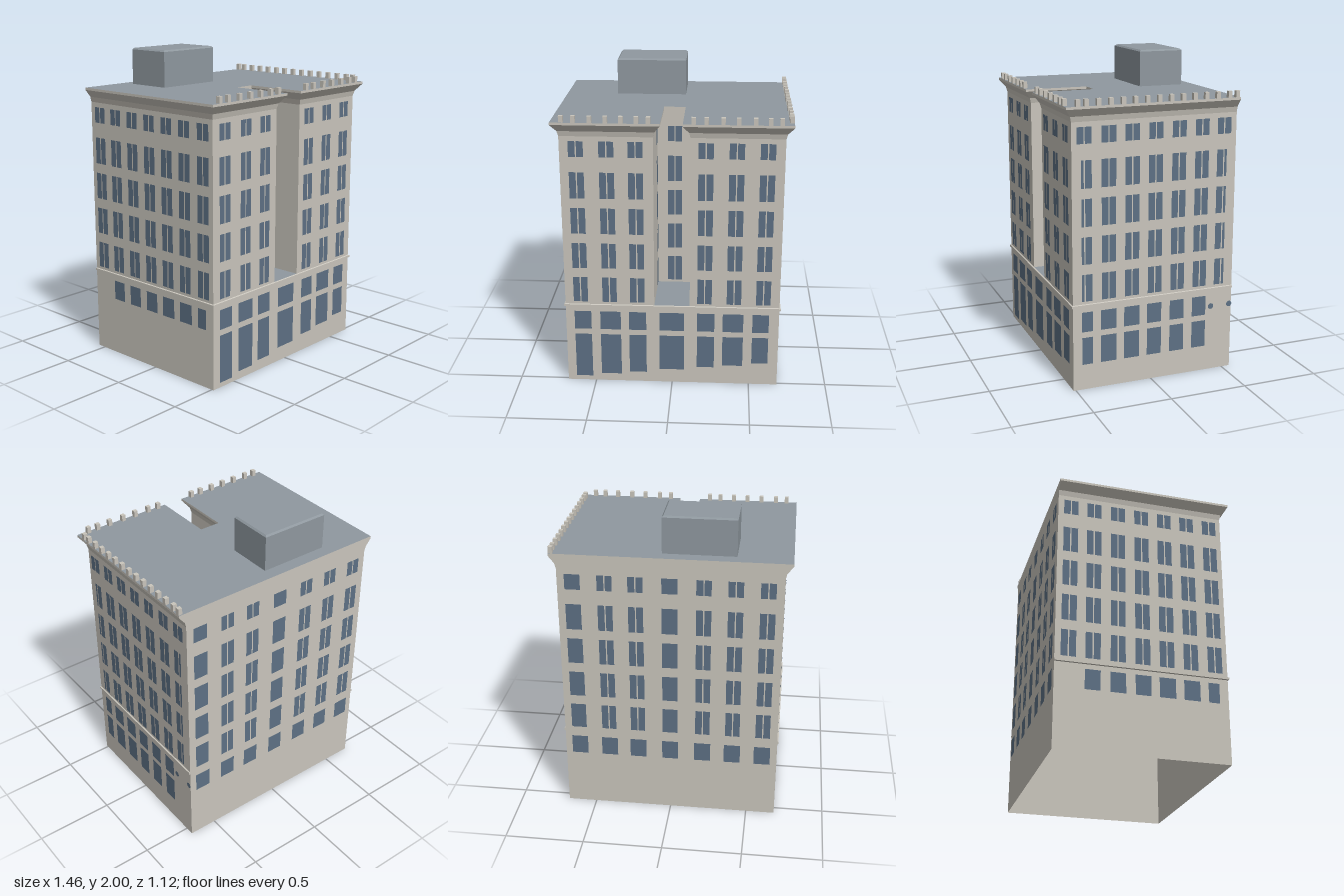
import * as THREE from 'three';
import { mergeGeometries } from 'three/addons/utils/BufferGeometryUtils.js';

const mat = (name, color, side = THREE.FrontSide) => {
  const m = new THREE.MeshStandardMaterial({ color, side });
  m.name = name;
  return m;
};

const HALF = 0.684, FRONT = 0.515, BACK = -0.556, WELL = 0.113, WELL_BACK = 0.15;

// Footprints as [x, z] loops; d pushes the street sides outward, the back stays flush
const baseOutline = (d) => [
  [-HALF - d, BACK], [-HALF - d, FRONT + d], [HALF + d, FRONT + d], [HALF + d, BACK],
];
const towerOutline = (d) => [
  [-HALF - d, BACK], [-HALF - d, FRONT + d], [-WELL + d, FRONT + d], [-WELL + d, WELL_BACK],
  [WELL - d, WELL_BACK], [WELL - d, FRONT + d], [HALF + d, FRONT + d], [HALF + d, BACK],
];

// Flat-sided walls through a list of [y, offset] levels
function walls(outline, levels) {
  const pos = [];
  for (let l = 0; l < levels.length - 1; l++) {
    const [y0, d0] = levels[l], [y1, d1] = levels[l + 1];
    const lo = outline(d0), hi = outline(d1);
    lo.forEach((p, i) => {
      const j = (i + 1) % lo.length;
      const a = [p[0], y0, p[1]], b = [lo[j][0], y0, lo[j][1]];
      const c = [hi[j][0], y1, hi[j][1]], e = [hi[i][0], y1, hi[i][1]];
      pos.push(...a, ...b, ...c, ...a, ...c, ...e);
    });
  }
  const g = new THREE.BufferGeometry();
  g.setAttribute('position', new THREE.Float32BufferAttribute(pos, 3));
  g.computeVertexNormals();
  return g;
}

// Horizontal slab face filling a footprint
function deck(outline, y) {
  const shape = new THREE.Shape(outline.map(([x, z]) => new THREE.Vector2(x, -z)));
  return new THREE.ShapeGeometry(shape).rotateX(-Math.PI / 2).translate(0, y, 0);
}

export function createModel() {
  const group = new THREE.Group();
  const stone = mat('stone', 0xc9c5bc, THREE.DoubleSide);
  const roofing = mat('roofing', 0x8f989f, THREE.DoubleSide);
  const glass = mat('glass', 0x5d7084);

  const add = (name, geometry, material) => {
    const m = new THREE.Mesh(geometry, material);
    m.name = name;
    group.add(m);
    return m;
  };

  // Street-level block, open below, with a string course on top
  add('base', walls(baseOutline, [[0, 0], [0.535, 0], [0.538, 0.008], [0.552, 0.008], [0.555, 0]]), stone);
  add('baseDeck', deck(baseOutline(0), 0.555), roofing);

  // Upper storeys around the light well, flaring into the cornice
  add('tower', walls(towerOutline, [[0.555, 0], [1.67, 0], [1.703, 0.008]]), stone);
  add('cornice', walls(towerOutline, [[1.703, 0.008], [1.75, 0.045], [1.765, 0.045]]), stone);
  add('roof', deck(towerOutline(0.045), 1.765), roofing);

  // Rooftop housing with a small bevel around its top
  const housing = (d) => [
    [-0.395 + d, -0.475 + d], [-0.395 + d, -0.177 - d], [0.055 - d, -0.177 - d], [0.055 - d, -0.475 + d],
  ];
  add('roofHousing', mergeGeometries([
    walls(housing, [[1.765, 0], [1.99, 0], [2, 0.01]]),
  ]), roofing);
  add('roofHousingTop', deck(housing(0.01), 2), roofing);

  // Parapet blocks along the front and the left-hand side
  const block = (x, z) => new THREE.BoxGeometry(0.026, 0.042, 0.026).translate(x, 1.785, z);
  const frontBlocks = [-0.66, -0.588, -0.49, -0.395, -0.302, -0.21, -0.138,
    0.132, 0.208, 0.308, 0.4, 0.5, 0.588, 0.655];
  const sideBlocks = [-0.537, -0.486, 0.486];
  for (let i = 0; i < 12; i++) sideBlocks.push(-0.408 + i * 0.0766);
  add('parapetBlocks', mergeGeometries([
    ...frontBlocks.map((x) => block(x, 0.546)),
    ...sideBlocks.map((z) => block(0.716, z)),
  ]), stone);

  // Windows: a pane spans u0..u1 and y0..y1 on a facade facing local +z
  const pane = (u0, u1, y0, y1) => new THREE.PlaneGeometry(Math.abs(u1 - u0), y1 - y0)
    .translate((u0 + u1) / 2, (y0 + y1) / 2, 0);
  const pair = (u, [y0, y1], left = 0.042, right = 0.042) => [
    pane(u - 0.004 - left, u - 0.004, y0, y1), pane(u + 0.004, u + 0.004 + right, y0, y1),
  ];
  const facade = (name, panes, angle, x, z) => {
    const m = add(name, mergeGeometries(panes), glass);
    m.rotation.y = angle;
    m.position.set(x, 0, z);
  };
  const floors = [[1.54, 1.64], [1.273, 1.443], [1.04, 1.21], [0.806, 0.976], [0.573, 0.743]];
  const TRANSOM = [0.377, 0.504];
  const gap = 0.003;

  // Front: paired sashes above, shopfronts with a stepped sill line below
  const frontCols = [-0.583, -0.398, -0.221, 0.207, 0.394, 0.58];
  const shops = [[-0.628, -0.52, 0.032], [-0.462, -0.33, 0.053], [-0.277, -0.166, 0.07],
    [-0.081, 0.077, 0.095], [0.161, 0.272, 0.117], [0.325, 0.457, 0.133], [0.515, 0.62, 0.154]];
  const front = floors.flatMap((f) => frontCols.flatMap((u) => pair(u, f)));
  shops.forEach(([a, b, sill]) => front.push(pane(a, b, ...TRANSOM), pane(a, b, sill, 0.34)));
  facade('frontWindows', front, 0, 0, FRONT + gap);

  // Light well
  facade('wellBackWindows', floors.flatMap((f) => pair(0, f)), 0, 0, WELL_BACK + gap);
  for (const s of [-1, 1]) {
    facade('wellSideWindows', floors.flatMap((f) => pair(0, f)), -s * Math.PI / 2, s * (WELL - gap), 0.21);
  }

  // Sides: end pairs have a narrow outer pane below the top floor
  const sideCols = [-0.437, -0.283, -0.132, 0.019, 0.172, 0.325, 0.474];
  const bays = [[-0.458, -0.389], [-0.336, -0.235], [-0.183, -0.082], [-0.03, 0.066], [0.124, 0.22], [0.278, 0.373]];
  const sideFloors = () => floors.flatMap((f, i) => sideCols.flatMap((u, c) =>
    pair(u, f, i && c === 0 ? 0.016 : 0.042, i && c === 6 ? 0.016 : 0.042)));
  const leftSide = sideFloors();
  bays.forEach(([a, b]) => leftSide.push(pane(a, b, ...TRANSOM), pane(a, b, 0.165, 0.34)));
  for (const u of [0.41, 0.54]) leftSide.push(new THREE.CircleGeometry(0.019, 16).translate(u, 0.43, 0));
  facade('leftWindows', leftSide, Math.PI / 2, HALF + gap, 0);

  const rightSide = floors.flatMap((f) => sideCols.flatMap((u) => pair(-u, f)));
  bays.forEach(([a, b]) => rightSide.push(pane(-b, -a, ...TRANSOM)));
  facade('rightWindows', rightSide, -Math.PI / 2, -HALF - gap, 0);

  // Back: mixed single and paired windows, one row in the base
  const backCols = [-0.59, -0.394, -0.207, 0, 0.207, 0.398, 0.59];
  const back = floors.flatMap((f) => backCols.flatMap((u, c) =>
    c === 0 || c === 3 ? [pane(u - 0.048, u + 0.048, ...f)] : pair(u, f)));
  backCols.forEach((u) => back.push(pane(u - 0.052, u + 0.052, ...TRANSOM)));
  facade('backWindows', back, Math.PI, 0, BACK - gap);

  return group;
}
